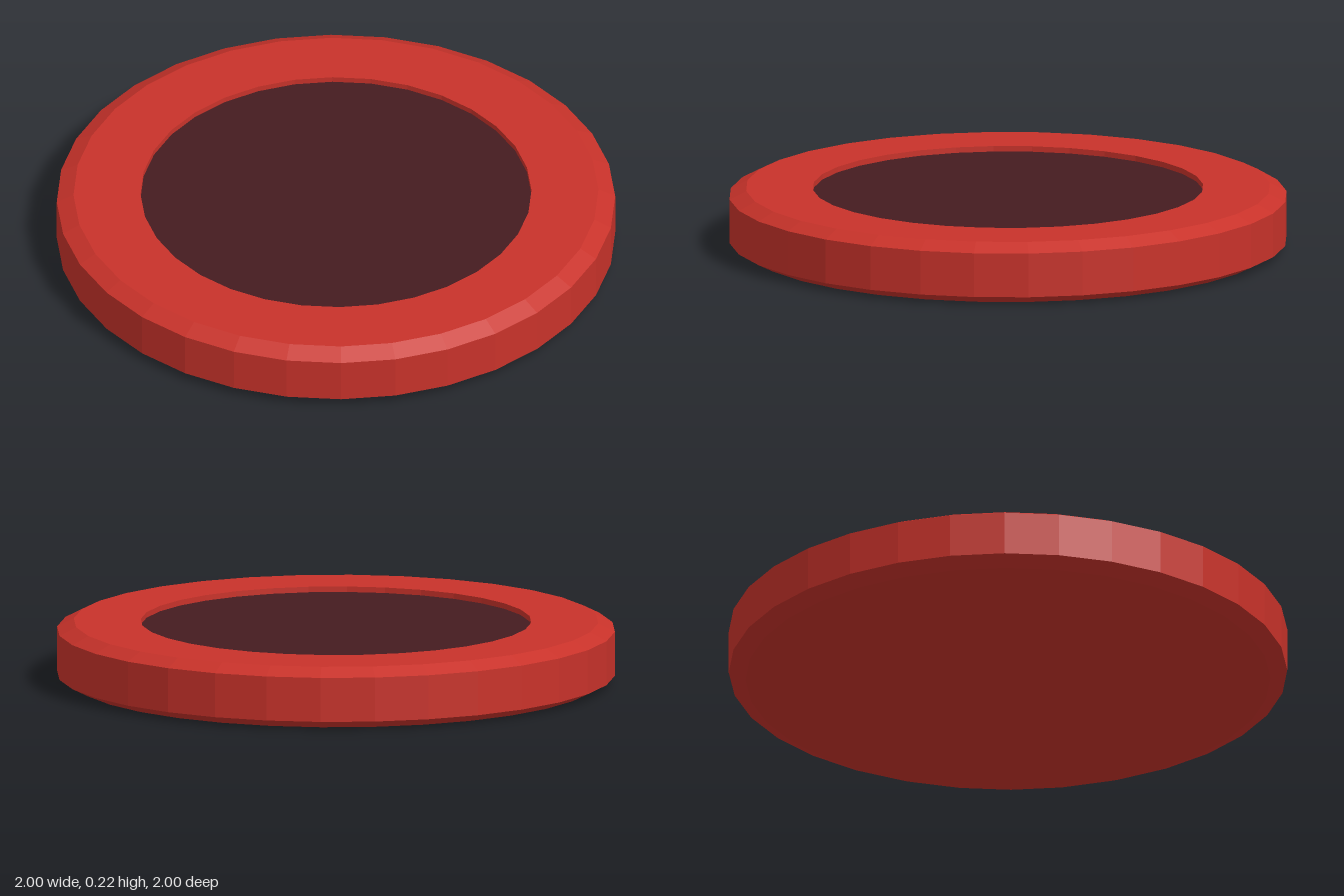
import * as THREE from 'three';

const SIDES = 32;

export function createModel() {
  const model = new THREE.Group();
  model.name = 'puck';

  // Chamfered body with a shallow round recess in the top
  const profile = [
    [0, 0], [0.94, 0], [1, 0.03], [1, 0.19], [0.94, 0.22], [0.7, 0.22], [0.7, 0.2],
  ].map(([r, y]) => new THREE.Vector2(r, y));
  const body = new THREE.Mesh(
    new THREE.LatheGeometry(profile, SIDES),
    new THREE.MeshStandardMaterial({ color: 0xc8322a, flatShading: true }),
  );
  body.name = 'body';

  // Dark disc forming the floor of the recess
  const inset = new THREE.Mesh(
    new THREE.CircleGeometry(0.7, SIDES).rotateX(-Math.PI / 2),
    new THREE.MeshStandardMaterial({ color: 0x451b20, flatShading: true }),
  );
  inset.name = 'insetDisc';
  inset.position.y = 0.2;

  model.add(body, inset);
  return model;
}
